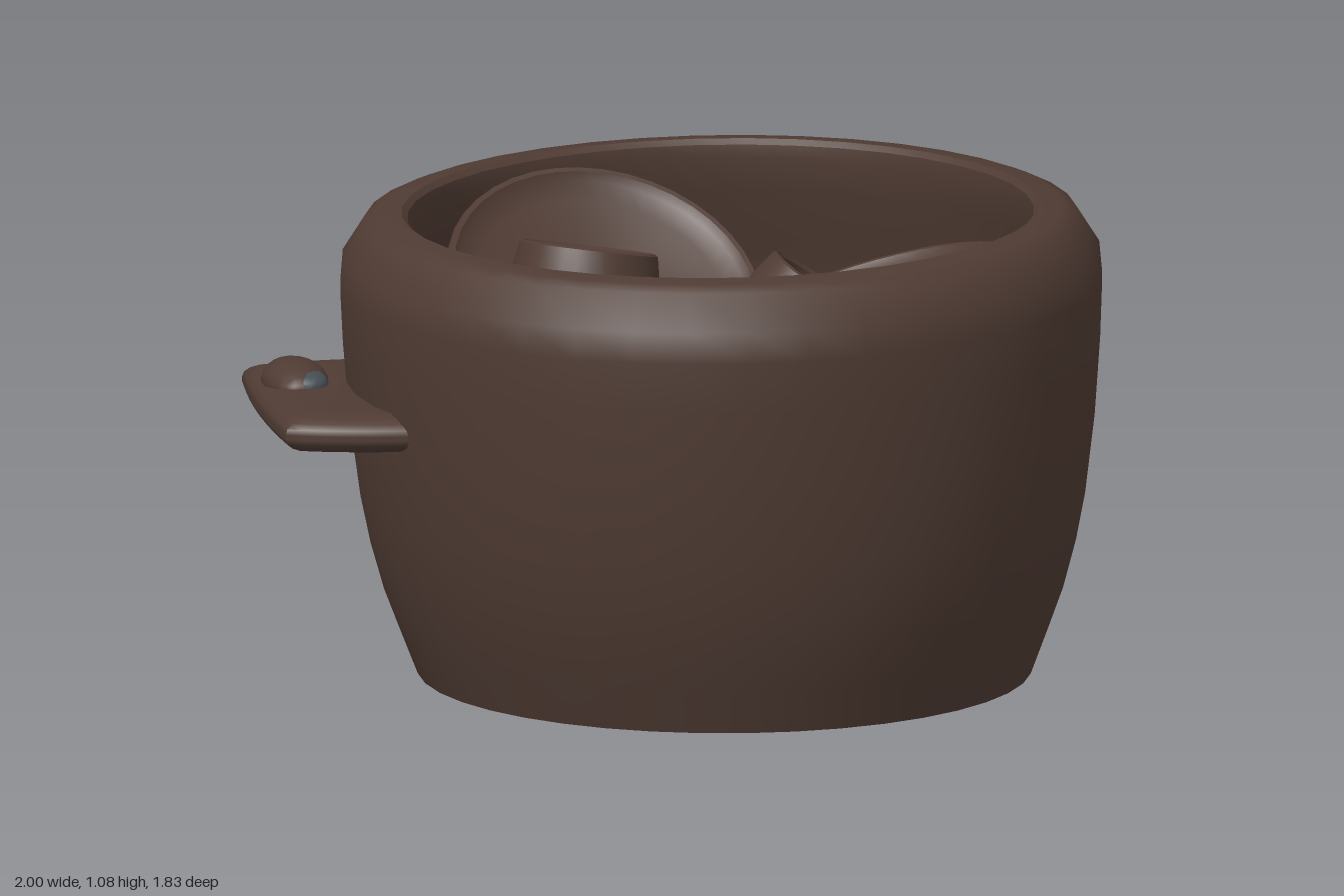
import * as THREE from 'three';
import { toCreasedNormals } from 'three/addons/utils/BufferGeometryUtils.js';

const brown = new THREE.MeshStandardMaterial({ color: 0x4f3b33 });
brown.name = 'brown clay';
const blue = new THREE.MeshStandardMaterial({ color: 0x5a7582, side: THREE.DoubleSide });
blue.name = 'blue water';
const gray = new THREE.MeshStandardMaterial({ color: 0x474e53, side: THREE.DoubleSide });
gray.name = 'grey metal';

const V = (x, y, z) => new THREE.Vector3(x, y, z);
const UP = V(0, 1, 0);
const CX = 0.137;

function add(parent, name, geometry, material) {
  const mesh = new THREE.Mesh(geometry, material);
  mesh.name = name;
  parent.add(mesh);
  return mesh;
}

function lathe(points, segments) {
  const g = new THREE.LatheGeometry(points.map(([r, y]) => new THREE.Vector2(r, y)), segments);
  return toCreasedNormals(g, 0.7);
}

// Stand a part on its axis
function lean(mesh, position, axis) {
  mesh.position.copy(position);
  mesh.quaternion.setFromUnitVectors(UP, axis.clone().normalize());
}

// Flat patch on the water: an arc of its edge closed by inner points (x, z)
function patch(start, end, inner) {
  const shape = new THREE.Shape();
  shape.absarc(0.128, 0.022, 0.7, start, end, false);
  inner.forEach(([x, z]) => shape.lineTo(x, z));
  return new THREE.ShapeGeometry(shape, 24).rotateX(Math.PI / 2).translate(0, 0.004, 0);
}

// Straight rod between two points
function rod(a, b, radius) {
  const g = new THREE.CylinderGeometry(radius, radius, a.distanceTo(b), 12);
  g.applyQuaternion(new THREE.Quaternion().setFromUnitVectors(UP, b.clone().sub(a).normalize()));
  const m = a.clone().add(b).multiplyScalar(0.5);
  return g.translate(m.x, m.y, m.z);
}

export function createModel() {
  const group = new THREE.Group();
  group.name = 'washTub';

  // Tub: open underneath, inward lip, very slightly uneven rim
  const tub = lathe([
    [0.697, 0], [0.735, 0.1], [0.772, 0.2], [0.802, 0.31], [0.824, 0.42], [0.847, 0.6],
    [0.861, 0.78], [0.866, 0.9], [0.86, 0.97], [0.808, 1.052], [0.775, 1.066], [0.724, 1.07],
    [0.711, 1.058], [0.708, 1.03], [0.722, 0.95], [0.755, 0.83], [0.787, 0.72], [0.805, 0.6],
    [0.785, 0.4], [0.75, 0.2], [0.692, 0],
  ], 40);
  const p = tub.attributes.position;
  for (let i = 0; i < p.count; i++) {
    const x = p.getX(i), y = p.getY(i), z = p.getZ(i);
    p.setXYZ(i, x, y * (1 + 0.007 * x - 0.012 * z), z + 0.015 * y);
  }
  add(group, 'tub', tub, brown).position.set(CX, 0, 0.003);

  // Water, a little higher at the back, with grey metal showing at the edges
  const basin = new THREE.Group();
  basin.name = 'basin';
  basin.position.y = 0.75;
  basin.rotation.x = 0.02;
  group.add(basin);
  add(basin, 'water', new THREE.CircleGeometry(0.7, 48).rotateX(-Math.PI / 2).translate(0.128, 0, 0.022), blue);
  add(basin, 'basinEdgeLeft', patch(-1.95, 0.78, [
    [0.66, 0.3], [0.72, 0.15], [0.71, 0], [0.55, -0.3], [0.1, -0.45], [0.12, -0.56], [0.04, -0.62],
  ]), gray);
  add(basin, 'basinEdgeRight', patch(2.9, 3.99, [[-0.36, -0.42], [-0.45, -0.15]]), gray);

  // Two half-sunk plates
  const plate = lathe([
    [0, -0.064], [0.25, -0.062], [0.34, -0.033], [0.366, -0.008], [0.362, 0], [0.35, -0.001],
    [0.335, -0.016], [0.29, -0.035], [0, -0.039],
  ], 40);
  lean(add(group, 'steepPlate', plate, brown), V(-0.217, 0.842, -0.06), V(0.8 * 0.57, 0.82, 0.6 * 0.57));
  lean(add(group, 'shallowPlate', plate, brown), V(0.363, 0.836, -0.232), V(-0.8 * 0.29, 0.957, 0.6 * 0.29));

  // Two cups; the origin is at the rim
  const cup = lathe([
    [0.165, -0.36], [0.176, -0.27], [0.176, -0.16], [0.168, -0.06], [0.158, -0.005], [0.15, 0],
    [0.138, -0.008], [0.144, -0.1], [0.148, -0.2], [0.135, -0.36],
  ], 32);
  lean(add(group, 'uprightCup', cup, brown), V(0.015, 1.035, 0.39), V(0, 0.97, -0.22));
  const leaningCup = add(group, 'leaningCup', cup, brown);
  lean(leaningCup, V(0.55, 0.97, 0.222), V(0.135, 0.25, -0.115));
  leaningCup.scale.setScalar(0.95);

  // Side handle: rounded slab whose inner edge follows the tub wall
  const shape = new THREE.Shape();
  shape.moveTo(-0.38, 0.66);
  shape.quadraticCurveTo(-0.015, 0.87, 0.35, 0.66);
  shape.quadraticCurveTo(0.355, 0.9, 0.29, 1.04);
  shape.quadraticCurveTo(-0.03, 1.07, -0.345, 1.045);
  shape.quadraticCurveTo(-0.395, 0.9, -0.38, 0.66);
  const slab = new THREE.ExtrudeGeometry(shape, {
    depth: 0.01, bevelThickness: 0.041, bevelSize: 0.095, bevelOffset: -0.095, bevelSegments: 5, curveSegments: 8,
  }).translate(0, 0, -0.005);
  const handle = new THREE.Group();
  handle.name = 'handle';
  const along = V(0.644, 0, 0.765), out = V(-0.765, 0, 0.644);
  handle.quaternion.setFromRotationMatrix(new THREE.Matrix4().makeBasis(along, out, V(0, -1, 0)));
  handle.position.set(CX, 0.634, 0.02);
  group.add(handle);
  add(handle, 'handleSlab', toCreasedNormals(slab, 0.8), brown);

  // Small oval knob on the handle with a grey inset toward the front
  const knob = add(handle, 'handleKnob', new THREE.SphereGeometry(1, 20, 12), brown);
  knob.scale.set(0.135, 0.075, 0.052);
  knob.position.set(-0.135, 0.955, -0.037);
  const inset = add(handle, 'knobInset', new THREE.SphereGeometry(1, 16, 10), gray);
  inset.scale.set(0.075, 0.05, 0.032);
  inset.position.set(-0.077, 0.938, -0.045);

  // Drain tap: bent pipe, post and lever
  const tap = new THREE.Group();
  tap.name = 'tap';
  group.add(tap);
  const path = new THREE.CurvePath();
  const a = V(-0.46, 0.452, -0.475), b = V(-0.81, 0.452, -0.752);
  const c = V(-0.915, 0.375, -0.835), d = V(-0.938, 0.225, -0.857);
  path.add(new THREE.LineCurve3(a, b));
  path.add(new THREE.QuadraticBezierCurve3(b, V(-0.89, 0.452, -0.815), c));
  path.add(new THREE.LineCurve3(c, d));
  add(tap, 'tapPipe', new THREE.TubeGeometry(path, 28, 0.063, 14), gray);
  const cap = add(tap, 'tapMouth', new THREE.CircleGeometry(0.063, 14), gray);
  cap.position.copy(d);
  cap.quaternion.setFromUnitVectors(V(0, 0, 1), d.clone().sub(c).normalize());
  const top = V(-0.6, 0.685, -0.578);
  add(tap, 'tapPost', rod(V(-0.6, 0.45, -0.578), top, 0.041), gray);
  add(tap, 'tapElbow', new THREE.SphereGeometry(0.041, 12, 8).translate(top.x, top.y, top.z), gray);
  add(tap, 'tapLever', rod(top, V(-0.78, 0.68, -0.553), 0.041), gray);

  return group;
}
